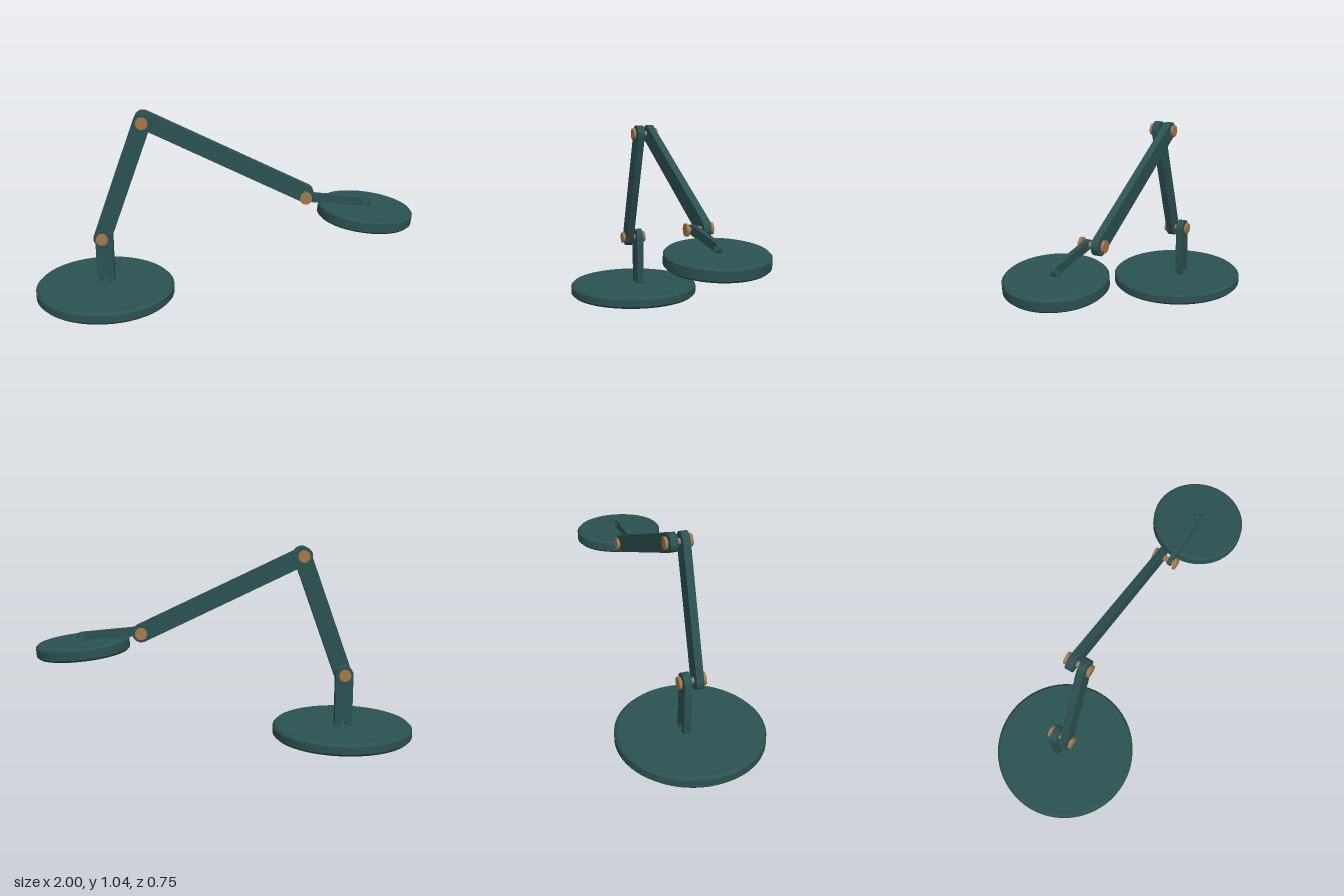
import * as THREE from 'three';
import { toCreasedNormals } from 'three/addons/utils/BufferGeometryUtils.js';

const paint = new THREE.MeshStandardMaterial({ color: 0x2b5252 });
paint.name = 'dark teal paint';
const brass = new THREE.MeshStandardMaterial({ color: 0xa87848 });
brass.name = 'bronze';
const rubber = new THREE.MeshStandardMaterial({ color: 0x2b2727 });
rubber.name = 'black rubber';
const glow = new THREE.MeshStandardMaterial({ color: 0xc8c0b2 });
glow.name = 'warm white diffuser';

function add(parent, name, geometry, material, x = 0, y = 0, z = 0) {
  const mesh = new THREE.Mesh(geometry, material);
  mesh.name = name;
  mesh.position.set(x, y, z);
  parent.add(mesh);
  return mesh;
}

// Round-ended flat bar along +x with a pivot hole at each end, centred on z
function linkGeometry(length, radius, thickness, hole) {
  const shape = new THREE.Shape();
  shape.absarc(0, 0, radius, Math.PI / 2, Math.PI * 1.5, false);
  shape.absarc(length, 0, radius, -Math.PI / 2, Math.PI / 2, false);
  shape.closePath();
  for (const x of [0, length]) {
    shape.holes.push(new THREE.Path().absarc(x, 0, hole, 0, Math.PI * 2, true));
  }
  const geo = new THREE.ExtrudeGeometry(shape, { depth: thickness, bevelEnabled: false, curveSegments: 16 });
  geo.translate(0, 0, -thickness / 2);
  return toCreasedNormals(geo, 0.6);
}

// Disc with a chamfer on both rims, centred on y
function discGeometry(radius, height, chamfer) {
  const h = height / 2;
  const points = [
    [0, -h], [radius - chamfer, -h], [radius, -h + chamfer],
    [radius, h - chamfer], [radius - chamfer, h], [0, h],
  ].map(([x, y]) => new THREE.Vector2(x, y));
  return toCreasedNormals(new THREE.LatheGeometry(points, 64), 0.5);
}

function addLink(parent, name, from, to, z) {
  const dx = to[0] - from[0], dy = to[1] - from[1];
  const bar = add(parent, name, linkGeometry(Math.hypot(dx, dy), 0.047, 0.038, 0.016), paint, from[0], from[1], z);
  bar.rotation.z = Math.atan2(dy, dx);
}

// Hinge pin: thin shaft with a flat cap at both ends
function addPin(parent, name, [x, y]) {
  const pin = new THREE.Group();
  pin.name = name;
  pin.position.set(x, y, 0);
  pin.rotation.x = Math.PI / 2;
  add(pin, 'pinShaft', new THREE.CylinderGeometry(0.0155, 0.0155, 0.12, 16), brass);
  for (const side of [-1, 1]) {
    add(pin, 'pinCap', new THREE.CylinderGeometry(0.0315, 0.0315, 0.014, 16), brass, 0, side * 0.062, 0);
  }
  parent.add(pin);
}

export function createModel() {
  const lamp = new THREE.Group();
  lamp.name = 'deskLamp';

  // Pivot points, seen from the front
  const foot = [-0.626, 0.1], low = [-0.626, 0.363], elbow = [-0.398, 0.994], wrist = [0.443, 0.598];

  // Base with three rubber feet
  add(lamp, 'base', discGeometry(0.374, 0.066, 0.013), paint, -0.626, 0.052, 0);
  for (let i = 0; i < 3; i++) {
    const a = (i * Math.PI * 2) / 3;
    add(lamp, 'rubberFoot', new THREE.CylinderGeometry(0.038, 0.038, 0.024, 24), rubber,
      -0.626 + 0.243 * Math.cos(a), 0.012, 0.243 * Math.sin(a));
  }

  // Post and arms, alternating sides of the hinge plane
  addLink(lamp, 'post', foot, low, -0.03);
  addLink(lamp, 'lowerArm', low, elbow, 0.03);
  addLink(lamp, 'upperArm', elbow, wrist, -0.03);
  addPin(lamp, 'lowerHinge', low);
  addPin(lamp, 'elbowHinge', elbow);
  addPin(lamp, 'wristHinge', wrist);

  // Tilted head: bracket, shade and diffuser
  const head = new THREE.Group();
  head.name = 'head';
  head.position.set(wrist[0], wrist[1], 0.03);
  head.rotation.z = -0.088;
  add(head, 'headBracket', linkGeometry(0.316, 0.024, 0.024, 0.016), paint);
  add(head, 'shade', discGeometry(0.244, 0.066, 0.01), paint, 0.315, -0.053, 0);
  add(head, 'diffuser', new THREE.CylinderGeometry(0.224, 0.224, 0.006, 64), glow, 0.315, -0.0855, 0);
  lamp.add(head);

  return lamp;
}
